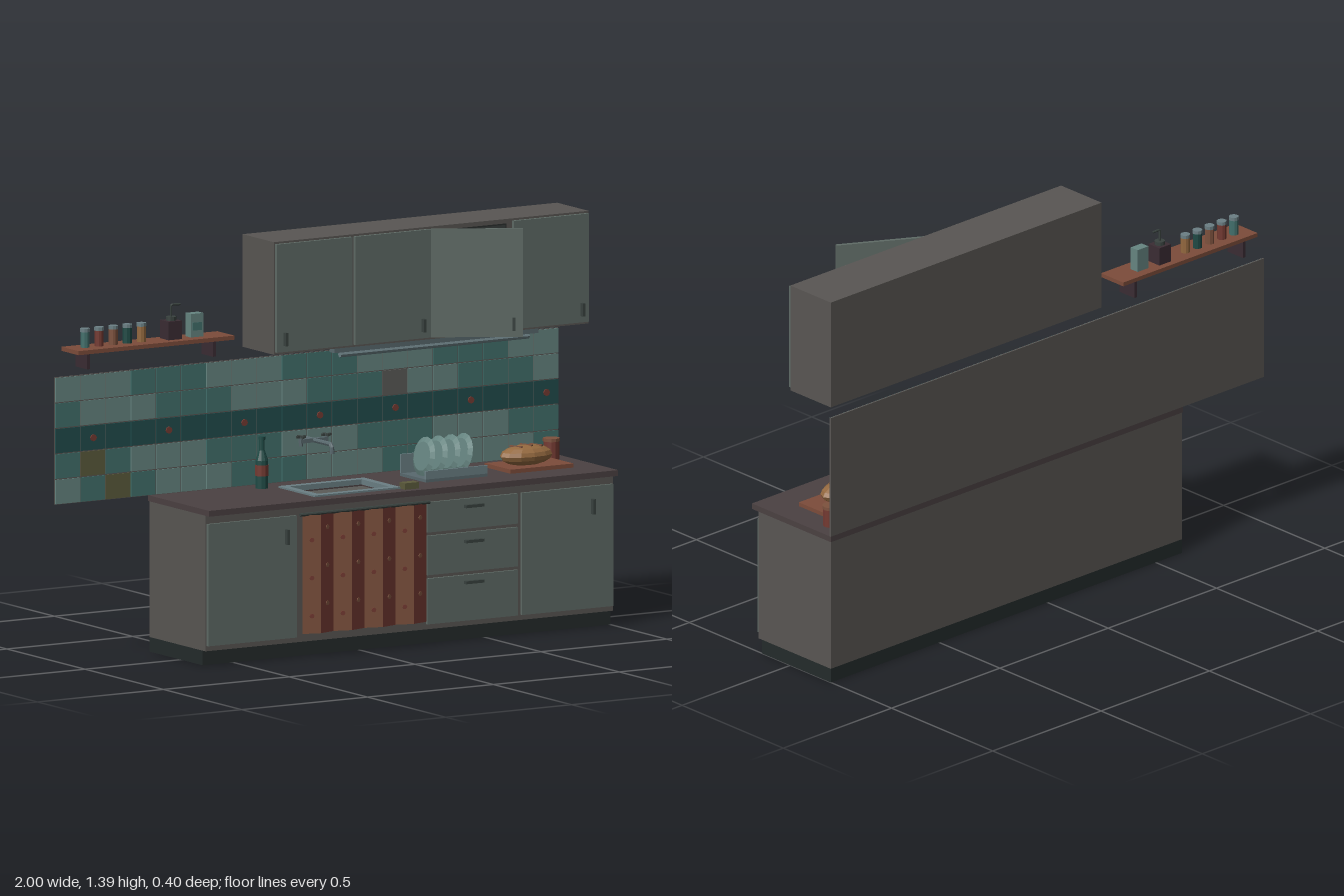
import * as THREE from 'three';

const C = {
  body: 0x595653, door: 0x5f6b66, dark: 0x242b2b, dim: 0x2b2f2e, counter: 0x4b4142, wood: 0x7d4c3a,
  metal: 0x6b7f84, handle: 0x39423f, steel: 0x59696e, red: 0x743a32, brown: 0x7e523e, teal: 0x42706c,
  paleTeal: 0x668581, band: 0x214d4d, olive: 0x5c5b3c, grey: 0x5b5b58, bottle: 0x1f4a45, bread: 0x94693f, plum: 0x3a2c33,
};
const mats = {};
const mat = (c, double) => mats[c + '' + !!double] ??= new THREE.MeshStandardMaterial({
  color: c, flatShading: true, side: double ? THREE.DoubleSide : THREE.FrontSide });

function add(parent, name, geo, color, double) {
  const m = new THREE.Mesh(geo, mat(color, double));
  m.name = name;
  parent.add(m);
  return m;
}
function group(parent, name) {
  const g = new THREE.Group();
  g.name = name;
  parent.add(g);
  return g;
}
// box given by its extents
const box = (p, name, c, x0, x1, y0, y1, z0, z1) =>
  add(p, name, new THREE.BoxGeometry(x1 - x0, y1 - y0, z1 - z0)
    .translate((x0 + x1) / 2, (y0 + y1) / 2, (z0 + z1) / 2), c);
// upright cylinder standing on y0
const cyl = (p, name, c, r, x, y0, y1, z, sides = 10) =>
  add(p, name, new THREE.CylinderGeometry(r, r, y1 - y0, sides).translate(x, (y0 + y1) / 2, z), c);
// rectangle with a rectangular hole; rectangles are [u0, u1, v0, v1]
function frame(o, h, depth) {
  const s = new THREE.Shape([[o[0], o[2]], [o[1], o[2]], [o[1], o[3]], [o[0], o[3]]].map(q => new THREE.Vector2(...q)));
  s.holes.push(new THREE.Path([[h[0], h[2]], [h[0], h[3]], [h[1], h[3]], [h[1], h[2]]].map(q => new THREE.Vector2(...q))));
  return new THREE.ExtrudeGeometry(s, { depth, bevelEnabled: false });
}
const tube = (p, name, c, pts, r) => add(p, name, new THREE.TubeGeometry(
  new THREE.CatmullRomCurve3(pts.map(q => new THREE.Vector3(...q)), false, 'catmullrom', 0.1), 16, r, 8), c);

function baseCabinet(root) {
  const g = group(root, 'baseCabinet');
  box(g, 'plinth', C.dark, -0.62, 1, 0, 0.05, -0.2, 0.14);
  box(g, 'carcass', C.body, -0.62, 1, 0.05, 0.515, -0.2, 0.158);
  add(g, 'counter', frame([-0.625, 1, -0.19, 0.2], [-0.15, 0.15, -0.115, 0.08], 0.02)
    .rotateX(-Math.PI / 2).translate(0, 0.515, 0), C.counter);
  box(g, 'leftDoor', C.door, -0.615, -0.262, 0.068, 0.485, 0.158, 0.168);
  box(g, 'rightDoor', C.door, 0.632, 0.994, 0.068, 0.485, 0.158, 0.168);
  for (const x of [-0.305, 0.91]) box(g, 'doorHandle', C.handle, x - 0.005, x + 0.005, 0.39, 0.442, 0.168, 0.184);
  for (const [y0, y1, yh] of [[0.068, 0.224, 0.2], [0.236, 0.37, 0.34], [0.382, 0.485, 0.46]]) {
    box(g, 'drawerFront', C.door, 0.256, 0.615, y0, y1, 0.158, 0.168);
    box(g, 'drawerHandle', C.handle, 0.4, 0.472, yh - 0.005, yh + 0.005, 0.168, 0.184);
  }
}

function curtain(root) {
  const g = group(root, 'curtain');
  const w = 0.0615, n = 8, x0 = -w * n / 2;
  for (let i = 0; i < n; i++) {
    // pleat: one slanted strip, alternately running forward and back
    const d = i % 2 ? -1 : 1;
    const strip = new THREE.PlaneGeometry(w, 0.405);
    const p = strip.attributes.position;
    for (let k = 0; k < p.count; k++) p.setZ(k, Math.sign(p.getX(k)) * d * 0.009);
    strip.computeVertexNormals();
    const x = x0 + (i + 0.5) * w;
    add(g, 'pleat', strip.translate(x, 0.2825, 0.187), i % 2 ? C.red : C.brown, true);
    for (let j = 0; j < 3; j++) {
      const dot = add(g, 'curtainDot', new THREE.CylinderGeometry(0.008, 0.008, 0.003, 8).rotateX(Math.PI / 2), i % 2 ? C.brown : C.red);
      dot.position.set(x, 0.16 + j * 0.13 - (i % 2 ? 0 : 0.04) + 0.02, 0.188);
      dot.rotation.y = -d * Math.atan(0.018 / w);
    }
  }
  const rod = cyl(g, 'curtainRod', C.handle, 0.006, 0, -0.258, 0.258, 0, 8);
  rod.rotation.z = Math.PI / 2;
  rod.position.set(0, 0.488, 0.18);
}

function backsplash(root) {
  const g = group(root, 'backsplash');
  box(g, 'grout', C.body, -1, 1, 0.535, 0.97, -0.2, -0.194);
  const odd = { '1,3': C.olive, '2,4': C.olive, '13,1': C.grey };
  for (let r = 0; r < 5; r++) for (let c = 0; c < 20; c++) {
    const x = -1 + c * 0.1, y = 0.97 - (r + 1) * 0.087;
    const color = odd[c + ',' + r] ?? (r === 2 ? C.band : (r + c + (c * 7 + r * 5) % 3) % 2 ? C.teal : C.paleTeal);
    box(g, 'tile', color, x + 0.002, x + 0.098, y + 0.002, y + 0.085, -0.194, -0.19);
  }
  for (let x = -0.85; x < 1; x += 0.3)
    add(g, 'tileRosette', new THREE.CylinderGeometry(0.012, 0.012, 0.006, 8).rotateX(Math.PI / 2).translate(x, 0.7525, -0.188), C.red);
}

function wallCabinet(root) {
  const g = group(root, 'wallCabinet');
  const hole = [0.38, 0.675, 1.03, 1.38], lining = [0.385, 0.67, 1.035, 1.375];
  box(g, 'backPanel', C.body, -0.25, 1, 1.01, 1.395, -0.2, -0.19);
  add(g, 'carcass', frame([-0.25, 1, 1.01, 1.395], hole, 0.19).translate(0, 0, -0.19), C.body);
  add(g, 'lining', frame(hole, lining, 0.189).translate(0, 0, -0.19), C.dim);
  box(g, 'innerBack', C.dim, ...lining, -0.19, -0.185);
  for (const [x0, x1] of [[-0.245, 0.055], [0.066, 0.366], [0.697, 0.995]])
    box(g, 'door', C.door, x0, x1, 1.018, 1.388, 0, 0.012);
  for (const x of [-0.215, 0.335, 0.965]) box(g, 'doorHandle', C.handle, x - 0.005, x + 0.005, 1.04, 1.085, 0.012, 0.028);
  // open door, swung on its left edge
  const open = group(g, 'openDoor');
  open.position.set(0.374, 0, 0);
  open.rotation.y = -0.52;
  box(open, 'doorPanel', C.door, 0, 0.31, 1.018, 1.388, 0, 0.012);
  box(open, 'doorHandle', C.handle, 0.275, 0.285, 1.04, 1.085, 0.012, 0.024);
  // lamp under the cabinet
  box(g, 'lampHousing', C.steel, 0, 0.81, 0.992, 1.01, -0.046, -0.014);
  const lamp = cyl(g, 'lampTube', C.metal, 0.01, 0, -0.375, 0.375, 0, 8);
  lamp.rotation.z = Math.PI / 2;
  lamp.position.set(0.405, 0.983, -0.03);
}

function wallShelf(root) {
  const g = group(root, 'wallShelf');
  box(g, 'shelfBoard', C.wood, -0.97, -0.35, 1.058, 1.072, -0.2, -0.09);
  for (const x of [-0.908, -0.408]) box(g, 'bracket', C.plum, x - 0.006, x + 0.006, 1, 1.058, -0.2, -0.125);
  [C.teal, C.red, C.brown, C.bottle, C.bread].forEach((c, i) => {
    const x = -0.907 + i * 0.056;
    cyl(g, 'jar', c, 0.016, x, 1.072, 1.125, -0.15);
    cyl(g, 'jarLid', C.metal, 0.017, x, 1.125, 1.137, -0.15);
  });
  box(g, 'grinder', C.plum, -0.592, -0.538, 1.072, 1.135, -0.177, -0.123);
  cyl(g, 'grinderCap', C.handle, 0.018, -0.565, 1.135, 1.148, -0.15);
  tube(g, 'grinderCrank', C.handle, [[-0.565, 1.14, -0.15], [-0.565, 1.187, -0.15], [-0.53, 1.187, -0.15]], 0.004);
  box(g, 'tin', C.paleTeal, -0.497, -0.447, 1.072, 1.152, -0.167, -0.133);
  box(g, 'tinLabel', C.teal, -0.49, -0.454, 1.095, 1.122, -0.135, -0.131);
}

function sink(root) {
  const g = group(root, 'sink');
  add(g, 'sinkRim', frame([-0.17, 0.17, -0.135, 0.1], [-0.143, 0.143, -0.108, 0.073], 0.018)
    .rotateX(-Math.PI / 2).translate(0, 0.523, 0), C.metal);
  box(g, 'basinFloor', C.grey, -0.149, 0.149, 0.512, 0.517, -0.079, 0.114);
  cyl(g, 'drain', C.handle, 0.014, 0, 0.516, 0.519, 0.01);
  // wall tap with two cross handles
  tube(g, 'spout', C.steel, [[0, 0.677, -0.19], [0, 0.677, -0.035], [0, 0.645, -0.03]], 0.008);
  box(g, 'tapBar', C.steel, -0.055, 0.055, 0.67, 0.684, -0.155, -0.141);
  for (const s of [-1, 1]) {
    cyl(g, 'tapStem', C.steel, 0.007, s * 0.05, 0.66, 0.695, -0.148, 8);
    box(g, 'tapHandle', C.handle, s * 0.05 - 0.018, s * 0.05 + 0.018, 0.688, 0.696, -0.152, -0.144);
    box(g, 'tapHandle', C.handle, s * 0.05 - 0.004, s * 0.05 + 0.004, 0.688, 0.696, -0.166, -0.13);
  }
  box(g, 'sponge', C.olive, 0.17, 0.225, 0.535, 0.557, 0.128, 0.163);
}

function counterItems(root) {
  const g = group(root, 'counterItems');
  // bottle with label
  const profile = [[0, 0], [0.022, 0], [0.022, 0.095], [0.01, 0.13], [0.009, 0.165], [0.012, 0.166], [0.012, 0.176], [0, 0.176]];
  add(g, 'bottle', new THREE.LatheGeometry(profile.map(q => new THREE.Vector2(...q)), 10).translate(-0.22, 0.535, -0.125), C.bottle);
  cyl(g, 'bottleLabel', C.red, 0.0235, -0.22, 0.578, 0.615, -0.125);
  // dish rack with leaning plates
  box(g, 'rackTray', C.steel, 0.31, 0.555, 0.535, 0.545, -0.095, 0.07);
  box(g, 'rackFront', C.metal, 0.31, 0.555, 0.545, 0.573, 0.062, 0.07);
  box(g, 'rackBack', C.metal, 0.31, 0.555, 0.545, 0.61, -0.095, -0.087);
  for (let i = 0; i < 4; i++) {
    const plate = add(g, 'plate', new THREE.CylinderGeometry(0.068, 0.05, 0.009, 16).rotateZ(-Math.PI / 2 - 0.2), C.paleTeal);
    plate.position.set(0.35 + i * 0.05, 0.61, -0.012);
  }
  // bread on a board
  box(g, 'cuttingBoard', C.wood, 0.65, 0.9, 0.535, 0.549, -0.1, 0.065);
  add(g, 'bread', new THREE.SphereGeometry(1, 12, 8).scale(0.1, 0.036, 0.056).translate(0.76, 0.58, -0.012), C.bread);
  for (const x of [0.72, 0.76, 0.8]) {
    const cut = box(g, 'breadScore', C.brown, -0.004, 0.004, -0.003, 0.003, -0.025, 0.025);
    cut.position.set(x, x === 0.76 ? 0.614 : 0.611, -0.012);
    cut.rotation.y = 0.4;
  }
  cyl(g, 'canister', C.red, 0.027, 0.93, 0.535, 0.597, -0.125, 12);
  cyl(g, 'canisterLid', C.brown, 0.029, 0.93, 0.597, 0.608, -0.125, 12);
}

export function createModel() {
  const root = new THREE.Group();
  root.name = 'kitchen';
  for (const build of [baseCabinet, curtain, backsplash, wallCabinet, wallShelf, sink, counterItems]) build(root);
  return root;
}
